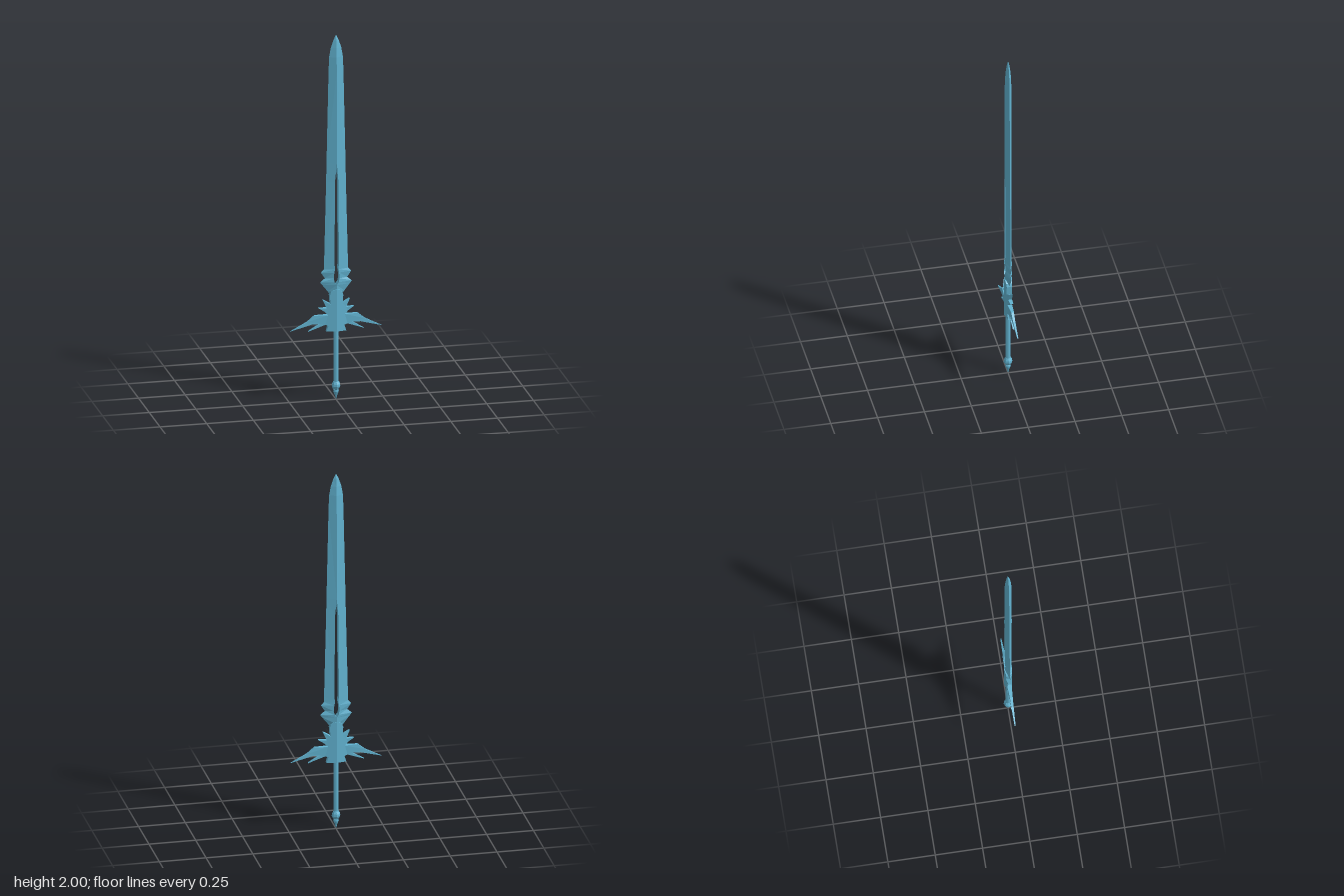
import * as THREE from 'three';

const steel = new THREE.MeshStandardMaterial({ color: 0x62b4d2, flatShading: true });
steel.name = 'blue steel';

function part(name, geometry) {
  const mesh = new THREE.Mesh(geometry, steel);
  mesh.name = name;
  return mesh;
}

// Mirrors a non-indexed geometry across x = 0 and keeps its faces outward
function mirrorX(geometry) {
  const g = geometry.clone();
  const p = g.attributes.position;
  for (let i = 0; i < p.count; i += 3) {
    const v = [0, 2, 1].map(k => new THREE.Vector3().fromBufferAttribute(p, i + k));
    v.forEach((q, k) => p.setXYZ(i + k, -q.x, q.y, q.z));
  }
  g.computeVertexNormals();
  return g;
}

// One half of the blade: triangular sections from the slot out to the edge
function bladeHalf() {
  // height, slot half width, blade half width, ridge half depth
  const rows = [
    [0.57, 0, 0.028, 0.014], [0.595, 0, 0.045, 0.018], [0.632, 0, 0.074, 0.02],
    [0.647, 0.011, 0.085, 0.021], [0.668, 0.015, 0.06, 0.021], [0.70, 0.013, 0.081, 0.021],
    [0.718, 0.009, 0.065, 0.021], [0.75, 0.012, 0.064, 0.021], [1.2, 0.009, 0.053, 0.02],
    [1.3, 0, 0.051, 0.02], [1.8, 0, 0.04, 0.018], [1.88, 0, 0.037, 0.017],
    [1.93, 0, 0.028, 0.013], [1.97, 0, 0.015, 0.008], [2.0, 0, 0, 0]
  ];
  const rings = rows.map(([y, s, w, t]) => {
    const z = w > 0 ? t * (1 - s / w) : 0;
    return [[s, y, z], [w, y, 0], [s, y, -z]];
  });
  const pos = [];
  for (let i = 0; i < rings.length - 1; i++) {
    for (let j = 0; j < 3; j++) {
      const k = (j + 1) % 3, a = rings[i], b = rings[i + 1];
      pos.push(...a[j], ...a[k], ...b[j], ...a[k], ...b[k], ...b[j]);
    }
  }
  const g = new THREE.BufferGeometry();
  g.setAttribute('position', new THREE.Float32BufferAttribute(pos, 3));
  g.computeVertexNormals();
  return g;
}

// One half of the spiked guard, thick at the middle and thin at the wing tip
function guardHalf() {
  const outline = [
    [0, 0.378], [0.053, 0.378], [0.043, 0.41], [0.06, 0.415], [0.15, 0.383], [0.085, 0.422],
    [0.13, 0.421], [0.245, 0.39], [0.155, 0.436], [0.116, 0.468], [0.045, 0.468],
    [0.062, 0.486], [0.095, 0.508], [0.052, 0.506], [0.072, 0.552], [0.032, 0.527],
    [0.036, 0.575], [0.03, 0.592], [0.017, 0.604], [0, 0.608],
    [0, 0.56], [0, 0.51], [0, 0.46], [0, 0.42]
  ];
  const shape = new THREE.Shape(outline.map(([x, y]) => new THREE.Vector2(x, y)));
  const g = new THREE.ExtrudeGeometry(shape, { depth: 1, bevelEnabled: false });
  const p = g.attributes.position;
  for (let i = 0; i < p.count; i++) {
    const x = p.getX(i);
    const half = x < 0.06
      ? THREE.MathUtils.mapLinear(x, 0, 0.06, 0.022, 0.009)
      : THREE.MathUtils.mapLinear(x, 0.06, 0.245, 0.009, 0.003);
    p.setZ(i, p.getZ(i) > 0.5 ? half : -half);
  }
  g.computeVertexNormals();
  return g;
}

// Turned part from a [radius, height] profile, bottom to top
function turned(profile) {
  return new THREE.LatheGeometry(profile.map(([r, y]) => new THREE.Vector2(r, y)), 8);
}

export function createModel() {
  const sword = new THREE.Group();
  sword.name = 'sword';

  // Blade and guard, each mirrored from one half
  const blade = bladeHalf(), guard = guardHalf();
  sword.add(part('bladeLeft', blade), part('bladeRight', mirrorX(blade)));
  sword.add(part('guardLeft', guard), part('guardRight', mirrorX(guard)));

  // Grip
  const grip = part('grip', new THREE.CylinderGeometry(0.014, 0.014, 0.32, 8));
  grip.position.y = 0.24;
  sword.add(grip);

  // Rounded pommel above a pointed end
  sword.add(part('pommel', turned([
    [0.01, 0.054], [0.018, 0.062], [0.023, 0.074], [0.022, 0.086], [0.015, 0.1], [0, 0.102]
  ])));
  sword.add(part('pommelSpike', turned([
    [0, 0], [0.007, 0.025], [0.015, 0.045], [0.014, 0.054], [0, 0.06]
  ])));

  return sword;
}
